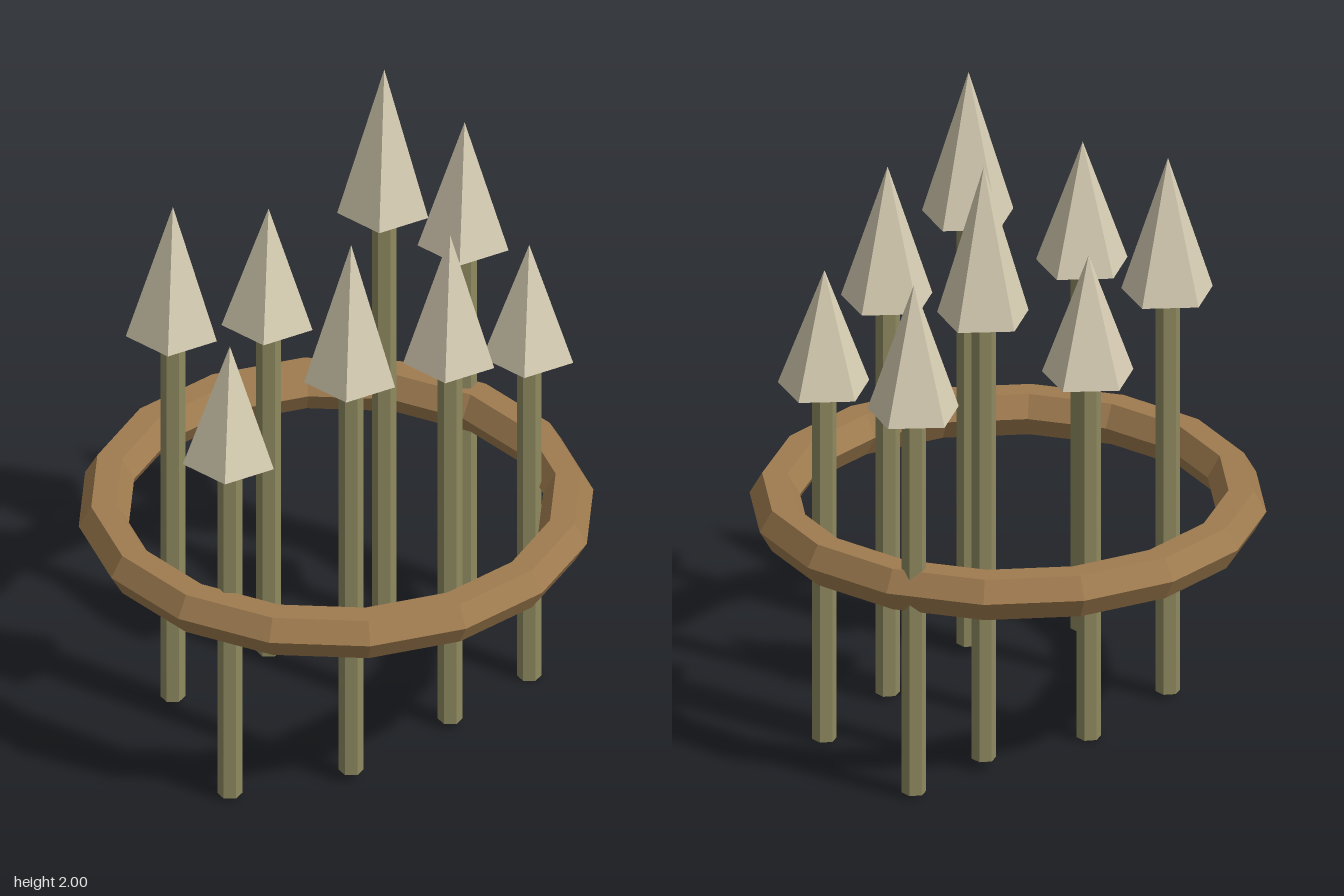
import * as THREE from 'three';

const material = (color) => new THREE.MeshStandardMaterial({ color, flatShading: true });

// One spear: six-sided shaft with a five-sided pointed head
function createSpear([x, z, bottom, neck, tip], shaftMaterial, headMaterial) {
  const spear = new THREE.Group();
  spear.name = 'spear';
  spear.position.set(x, 0, z);

  const shaft = new THREE.Mesh(new THREE.CylinderGeometry(0.038, 0.038, neck - bottom, 6), shaftMaterial);
  shaft.name = 'shaft';
  shaft.position.y = (neck + bottom) / 2;

  const head = new THREE.Mesh(new THREE.ConeGeometry(0.147, tip - neck, 5), headMaterial);
  head.name = 'spearHead';
  head.position.y = (tip + neck) / 2;
  head.rotation.y = Math.PI;

  spear.add(shaft, head);
  return spear;
}

export function createModel() {
  const model = new THREE.Group();
  model.name = 'spearRack';

  const wood = material(0xa07c50);
  const shaftMaterial = material(0x8f8a60);
  const headMaterial = material(0xd8ceb4);

  // Faceted hoop holding the spears
  const hoop = new THREE.Mesh(new THREE.TorusGeometry(0.715, 0.0775, 6, 16), wood);
  hoop.name = 'hoop';
  hoop.rotation.x = Math.PI / 2;
  hoop.position.y = 0.688;
  model.add(hoop);

  // Spears: x, z, shaft bottom, head base, tip
  const spears = [
    [-0.558, 0.317, 0.01, 1.22, 1.627],
    [-0.44, -0.234, 0.018, 1.341, 1.79],
    [-0.187, 0.415, 0.03, 1.452, 1.929],
    [-0.048, -0.328, 0.005, 1.204, 1.606],
    [0.229, 0.3, 0.018, 1.325, 1.768],
    [0.344, -0.3, 0.033, 1.5, 2.0],
    [0.575, 0.184, 0, 1.169, 1.558],
    [0.643, -0.327, 0.012, 1.272, 1.698],
  ];
  for (const spec of spears) model.add(createSpear(spec, shaftMaterial, headMaterial));

  return model;
}
